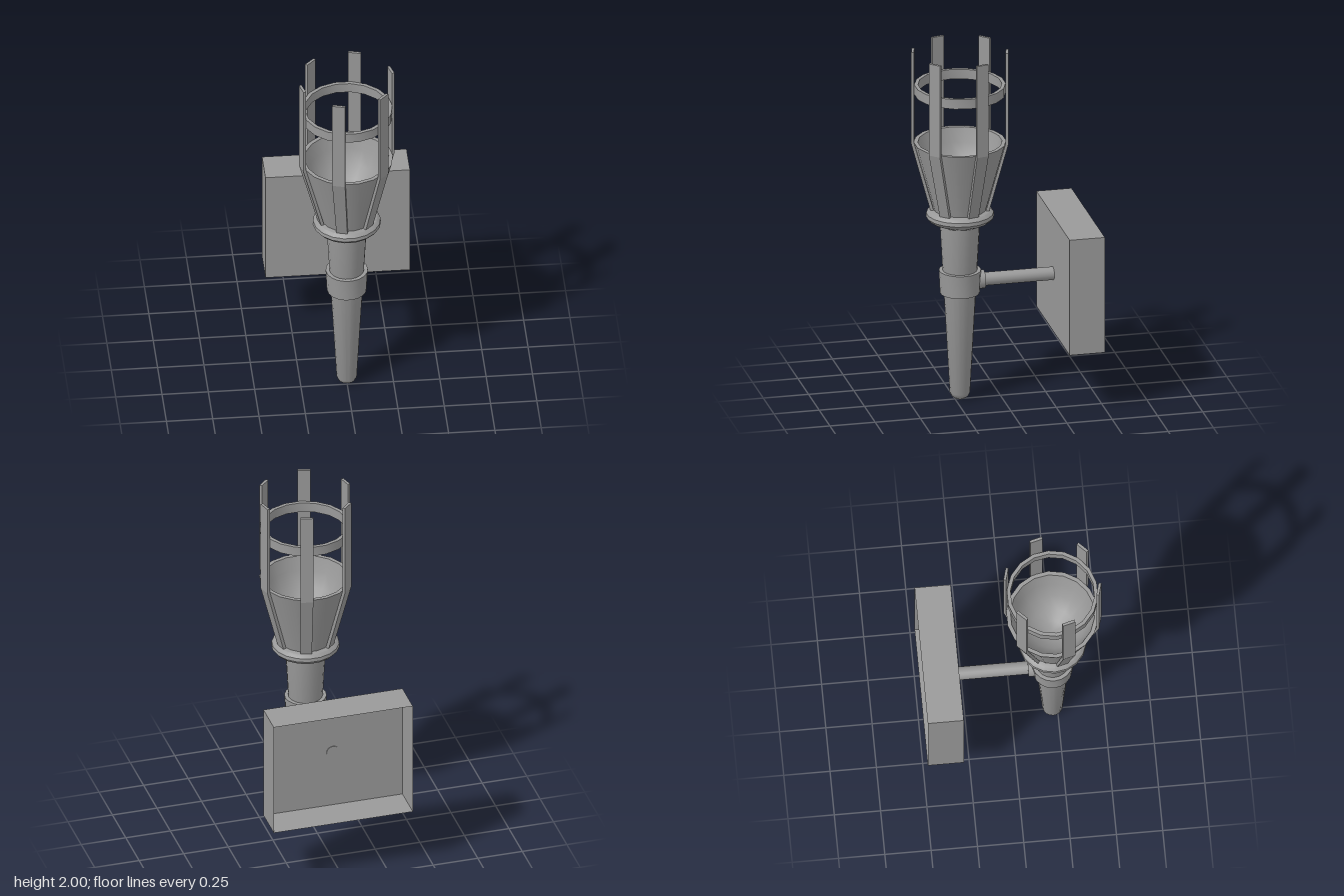
import * as THREE from 'three';
import { toCreasedNormals } from 'three/addons/utils/BufferGeometryUtils.js';

const SIDES = 18;
const AXIS_Z = 0.223; // the torch stands in front of its wall bracket
const CENTRE_Y = 0.68;

export function createModel() {
  const model = new THREE.Group();
  model.name = 'wallTorch';
  const metal = new THREE.MeshStandardMaterial({ color: 0x999999 });
  metal.name = 'grey metal';
  const sheet = new THREE.MeshStandardMaterial({ color: 0x999999, side: THREE.DoubleSide });
  sheet.name = 'grey sheet metal';

  const torch = new THREE.Group();
  torch.name = 'torch';
  torch.position.z = AXIS_Z;
  model.add(torch);

  const add = (parent, name, geometry, material = metal) => {
    const mesh = new THREE.Mesh(geometry, material);
    mesh.name = name;
    parent.add(mesh);
    return mesh;
  };

  // Round parts, profiles run up the outside and down the inside
  const turned = (name, profile) => {
    const points = profile.map(([r, y]) => new THREE.Vector2(r, y));
    const lathe = new THREE.LatheGeometry(points, SIDES, Math.PI / SIDES);
    return add(torch, name, toCreasedNormals(lathe, 0.65));
  };

  turned('handle', [
    [0, 0.005], [0.025, 0.01], [0.045, 0.024], [0.055, 0.045], [0.109, 1.03],
  ]);
  turned('handleCollar', [
    [0.085, 0.615], [0.107, 0.615], [0.114, 0.745], [0.09, 0.745],
  ]);
  turned('neckRing', [
    [0.1, 1.01], [0.115, 1.01], [0.165, 1.034], [0.184, 1.055],
    [0.182, 1.075], [0.165, 1.092], [0.13, 1.097],
  ]);
  turned('bowl', [
    [0.135, 1.07], [0.249, 1.48], [0.227, 1.48], [0.205, 1.4],
    [0.17, 1.32], [0.115, 1.26], [0.055, 1.23], [0, 1.22],
  ]);
  turned('cageHoop', [
    [0.226, 1.755], [0.246, 1.755], [0.246, 1.81], [0.226, 1.81], [0.226, 1.755],
  ]);

  // Bent slats: a side profile (radius, height) extruded across the width
  const profile = new THREE.Shape([
    [0.134, 1.07], [0.152, 1.07], [0.261, 1.475], [0.261, 2], [0.246, 2], [0.246, 1.48],
  ].map(([r, y]) => new THREE.Vector2(r, y)));
  const slat = new THREE.ExtrudeGeometry(profile, { depth: 0.07, bevelEnabled: false });
  slat.translate(0, 0, -0.035);
  const p = slat.attributes.position;
  for (let i = 0; i < p.count; i++) {
    if (p.getY(i) < 1.2) p.setZ(i, p.getZ(i) * 0.85); // narrower at the foot
  }
  slat.computeVertexNormals();
  for (let k = 0; k < 6; k++) {
    add(torch, 'cageSlat', slat).rotation.y = Math.PI / 12 + (k * Math.PI) / 3;
  }

  // Arm joining the collar to the wall box
  const rod = (name, radius, zFront, zBack) => {
    const geometry = new THREE.CylinderGeometry(radius, radius, zFront - zBack, 20);
    geometry.rotateX(Math.PI / 2);
    add(model, name, geometry).position.set(0, CENTRE_Y, (zFront + zBack) / 2);
  };
  rod('armFlange', 0.05, 0.15, 0.09);
  rod('arm', 0.036, 0.15, -0.294);

  // Wall box: thin panels, open at the back
  const box = new THREE.Group();
  box.name = 'wallBox';
  box.position.set(0, CENTRE_Y, -0.388);
  model.add(box);
  const W = 0.78, H = 0.66, D = 0.194;
  add(box, 'frontPanel', new THREE.PlaneGeometry(W, H), sheet).position.z = D / 2;
  for (const s of [-1, 1]) {
    const side = add(box, 'sidePanel', new THREE.PlaneGeometry(D, H), sheet);
    side.rotation.y = (s * Math.PI) / 2;
    side.position.x = (s * W) / 2;
    const flat = add(box, s > 0 ? 'topPanel' : 'bottomPanel', new THREE.PlaneGeometry(W, D), sheet);
    flat.rotation.x = (-s * Math.PI) / 2;
    flat.position.y = (s * H) / 2;
  }
  return model;
}
